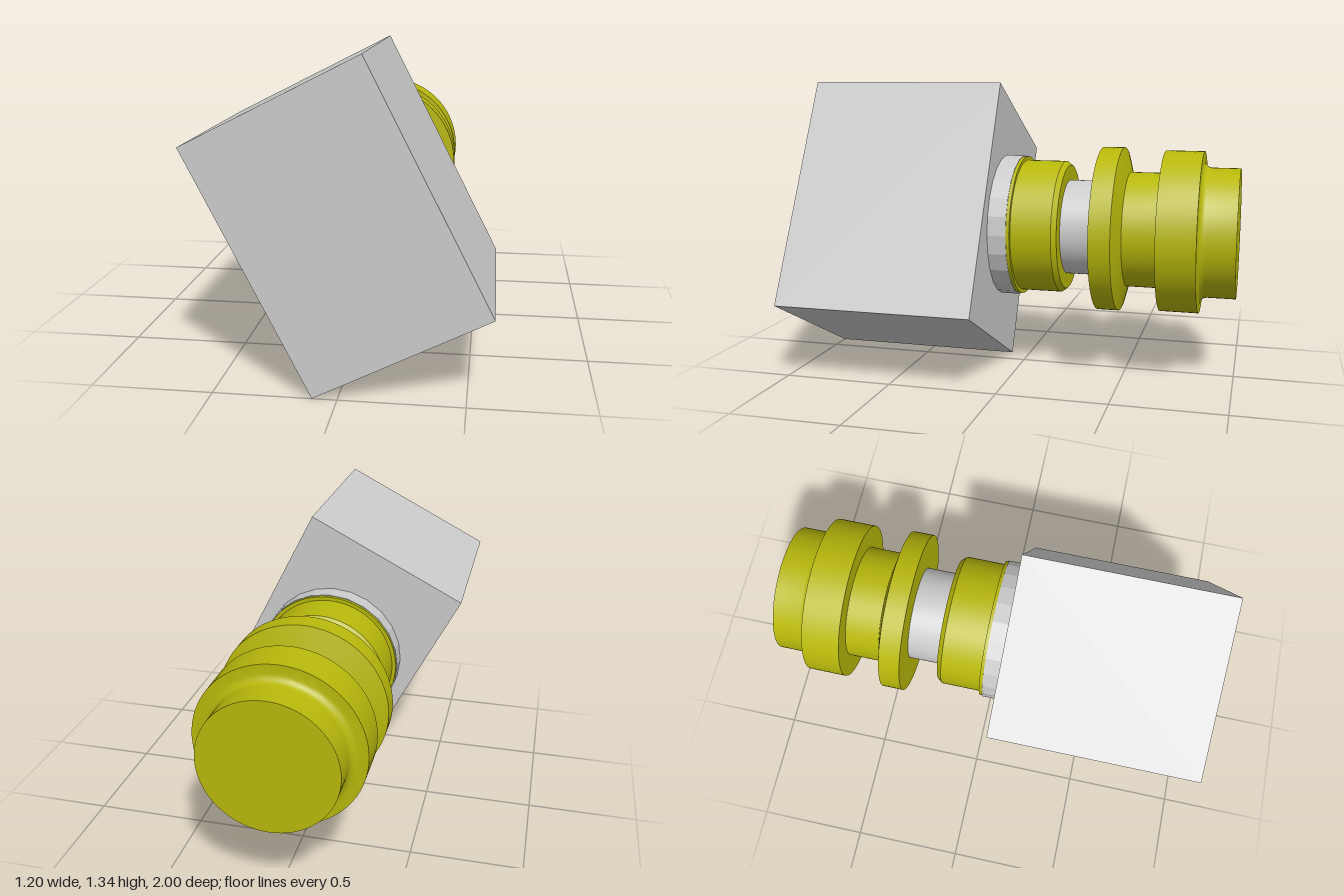
import * as THREE from 'three';
import { toCreasedNormals } from 'three/addons/utils/BufferGeometryUtils.js';

const AXIS_Y = 0.6725;

export function createModel() {
  const model = new THREE.Group();
  model.name = 'plugConnector';
  const grey = new THREE.MeshStandardMaterial({ color: 0xcccccc });
  const greyFlat = new THREE.MeshStandardMaterial({ color: 0xcccccc, flatShading: true });
  const yellow = new THREE.MeshStandardMaterial({ color: 0xb8b80c });

  const add = (name, geometry, material) => {
    const mesh = new THREE.Mesh(geometry, material);
    mesh.name = name;
    mesh.position.y = AXIS_Y;
    model.add(mesh);
    return mesh;
  };

  // Turned part: profile of [radius, distance behind the centre], running backwards
  const turned = (name, profile, material) => {
    const points = profile.map(([r, d]) => new THREE.Vector2(r, d));
    const geometry = new THREE.LatheGeometry(points, 72).rotateX(-Math.PI / 2);
    return add(name, toCreasedNormals(geometry, Math.PI / 7), material);
  };

  // Tilted block at the front
  const block = add('block', new THREE.BoxGeometry(0.787, 1.105, 0.915), greyFlat);
  block.position.z = 0.5425;
  block.rotation.z = THREE.MathUtils.degToRad(27);

  // Faceted ring where the stem meets the block
  const ring = add('baseRing', new THREE.CylinderGeometry(0.33, 0.33, 0.085, 24).rotateX(Math.PI / 2), greyFlat);
  ring.position.z = 0.0425;

  // Inner shaft
  turned('shaft', [[0, 0.2], [0.22, 0.2], [0.22, 0.4], [0, 0.4]], grey);

  // Collar with a thin lip and a bevelled rear edge
  turned('collar', [
    [0, 0], [0.325, 0], [0.325, 0.015], [0.308, 0.015],
    [0.308, 0.2], [0.29, 0.222], [0, 0.222],
  ], yellow);

  // Stepped sleeve: bevelled flange, neck, wide band, and filleted end cap
  const fillet = [];
  for (let i = 0; i <= 6; i++) {
    const a = (i / 6) * Math.PI / 2;
    fillet.push([0.33 - 0.035 * Math.sin(a), 0.873 - 0.035 * Math.cos(a)]);
  }
  turned('sleeve', [
    [0, 0.378], [0.378, 0.378], [0.378, 0.475], [0.265, 0.506],
    [0.265, 0.664], [0.368, 0.664], [0.368, 0.838],
    ...fillet, [0.295, 1], [0, 1],
  ], yellow);

  return model;
}
